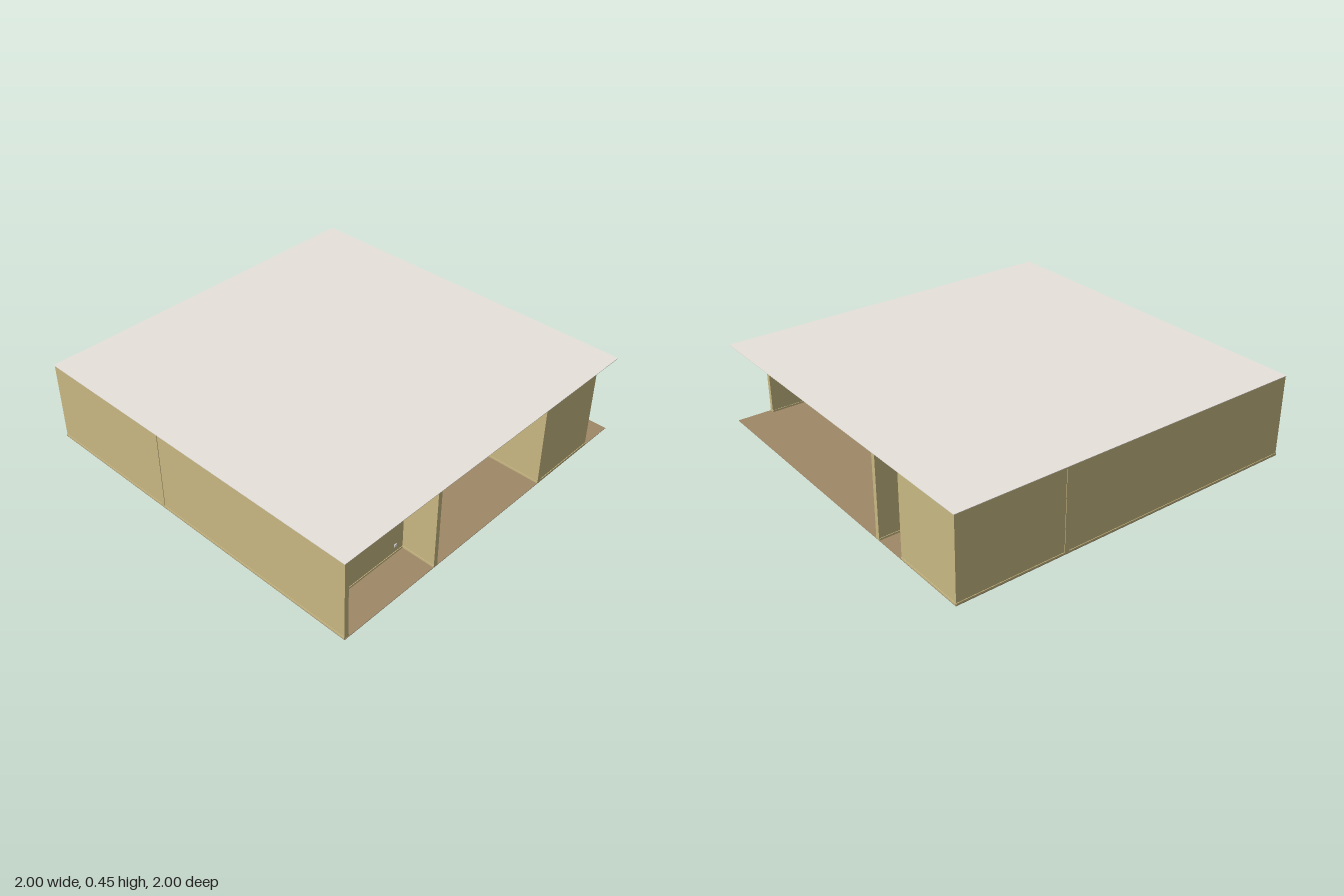
import * as THREE from 'three';

const HEIGHT = 0.45;
const SLAB = 0.003;
const THICK = 0.024;
const SKIRT = 0.013;

function material(name, color) {
  const m = new THREE.MeshStandardMaterial({ color });
  m.name = name;
  return m;
}

export function createModel() {
  const house = new THREE.Group();
  house.name = 'house';

  const wallPaint = material('wall sand', 0xc8b882);
  const roofPaint = material('roof off-white', 0xe8e4dc);
  const floorWood = material('floor brown', 0xa08868);
  const fittingWhite = material('socket white', 0xf0f0ec);

  // Box given by its lower and upper limits on each axis
  function box(name, mat, x0, x1, y0, y1, z0, z1) {
    const mesh = new THREE.Mesh(new THREE.BoxGeometry(x1 - x0, y1 - y0, z1 - z0), mat);
    mesh.position.set((x0 + x1) / 2, (y0 + y1) / 2, (z0 + z1) / 2);
    mesh.name = name;
    house.add(mesh);
  }

  // Wall with a slightly proud skirting strip along its foot
  function wall(name, alongX, at, from, to) {
    const h = THICK / 2;
    const lip = 0.003;
    const top = HEIGHT - SLAB;
    if (alongX) {
      box(name, wallPaint, from, to, SLAB, top, at - h, at + h);
      box(name + 'Skirting', wallPaint, from, to, SLAB, SKIRT, at - h - lip, at + h + lip);
    } else {
      box(name, wallPaint, at - h, at + h, SLAB, top, from, to);
      box(name + 'Skirting', wallPaint, at - h - lip, at + h + lip, SLAB, SKIRT, from, to);
    }
  }

  // Floor and flat roof
  box('floor', floorWood, -1, 1, 0, SLAB, -1, 1);
  box('roof', roofPaint, -1, 1, HEIGHT - SLAB, HEIGHT, -1, 1);

  // Outer walls
  const edge = 0.985;
  wall('frontWall', true, edge, -0.997, 0.997);
  wall('sideWall', false, -edge, -0.997, 0.997);
  wall('backWall', true, -edge, -0.997, -0.59);
  wall('porchWall', false, edge, -0.81, -0.39);

  // Partitions, with full-height door gaps between them
  wall('bedroomPartition', false, -0.4, -1, -0.39);
  wall('rearPartition', true, -0.4, -1, 0.4);
  wall('rearPartitionEnd', true, -0.4, 0.59, 1);
  wall('hallPartition', false, 0.6, -0.41, 0.01);
  wall('frontPartition', true, 0.4, -0.21, 1);
  wall('entryPartition', false, 0.8, 0.39, 0.81);
  wall('middlePartition', false, -0.205, 0.39, 1);

  // Vent and wall sockets
  box('vent', floorWood, 0.612, 0.618, 0.39, 0.416, -0.157, -0.1);
  box('hallSocket', fittingWhite, 0.612, 0.616, 0.045, 0.06, -0.343, -0.328);
  box('entrySocket', fittingWhite, 0.812, 0.816, 0.045, 0.06, 0.458, 0.473);

  return house;
}
